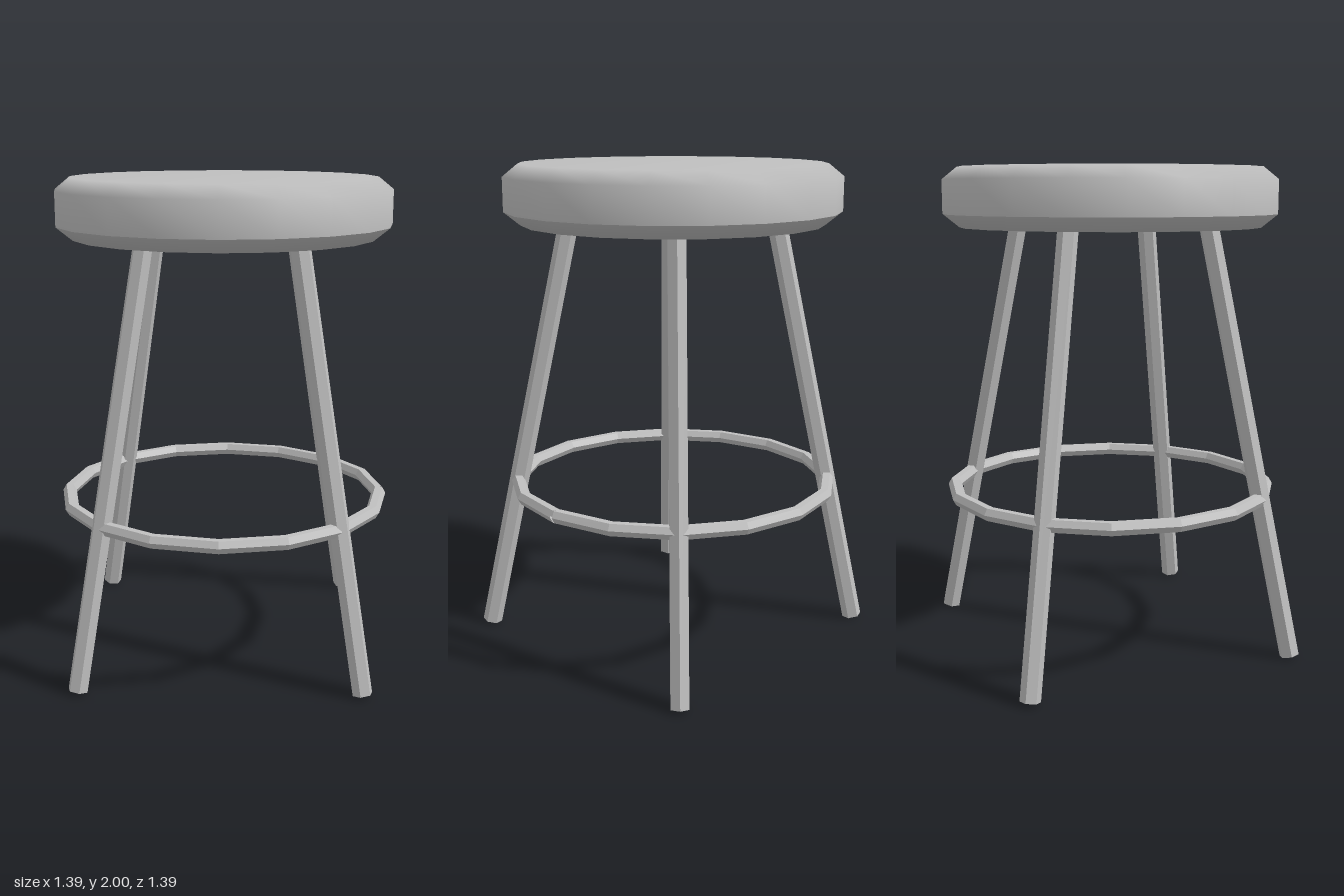
import * as THREE from 'three';

const grey = new THREE.MeshStandardMaterial({ color: 0xbfbfbf, side: THREE.DoubleSide });
grey.name = 'plain grey';

// Faceted copy of a geometry
function faceted(geometry) {
  const flat = geometry.toNonIndexed();
  flat.computeVertexNormals();
  return flat;
}

function lathe(name, points) {
  const profile = points.map(([r, y]) => new THREE.Vector2(r, y));
  const mesh = new THREE.Mesh(new THREE.LatheGeometry(profile, 20), grey);
  mesh.name = name;
  return mesh;
}

export function createModel() {
  const model = new THREE.Group();
  model.name = 'stool';

  // Round seat: smooth top and side, sharp edge above the bottom bevel
  const seat = new THREE.Group();
  seat.name = 'seat';
  seat.add(
    lathe('seatCushion', [[0.687, 1.812], [0.687, 1.95], [0.625, 2], [0, 2]]),
    lathe('seatUnderside', [[0, 1.758], [0.62, 1.758], [0.687, 1.812]])
  );
  model.add(seat);

  // Four splayed hexagonal legs, one edge facing outward
  const foot = { r: 0.803, y: 0.008 };
  const head = { r: 0.42, y: 1.79 };
  const rise = head.y - foot.y;
  const lean = foot.r - head.r;
  const legGeometry = faceted(new THREE.CylinderGeometry(0.041, 0.041, Math.hypot(rise, lean), 6));
  for (let i = 0; i < 4; i++) {
    const leg = new THREE.Group();
    leg.name = 'leg' + (i + 1);
    const bar = new THREE.Mesh(legGeometry, grey);
    bar.name = 'legBar';
    bar.position.set(0, (foot.y + head.y) / 2, (foot.r + head.r) / 2);
    bar.rotation.x = -Math.atan2(lean, rise);
    leg.add(bar);
    leg.rotation.y = Math.PI / 4 + i * Math.PI / 2;
    model.add(leg);
  }

  // Sixteen-sided foot ring, its two ends cut square where they meet at +x
  const radius = 0.668, sides = 16;
  const ringGeometry = new THREE.TorusGeometry(radius, 0.029, 6, sides);
  const pos = ringGeometry.attributes.position;
  const slant = Math.tan(Math.PI / sides);
  for (let j = 0; j <= 6; j++) {
    const start = j * (sides + 1), end = start + sides;
    const shift = (pos.getX(start) - radius) * slant;
    pos.setY(start, shift);
    pos.setY(end, -shift);
  }
  const ring = new THREE.Mesh(faceted(ringGeometry), grey);
  ring.name = 'footRing';
  ring.rotation.x = -Math.PI / 2;
  ring.position.y = 0.665;
  model.add(ring);

  return model;
}
